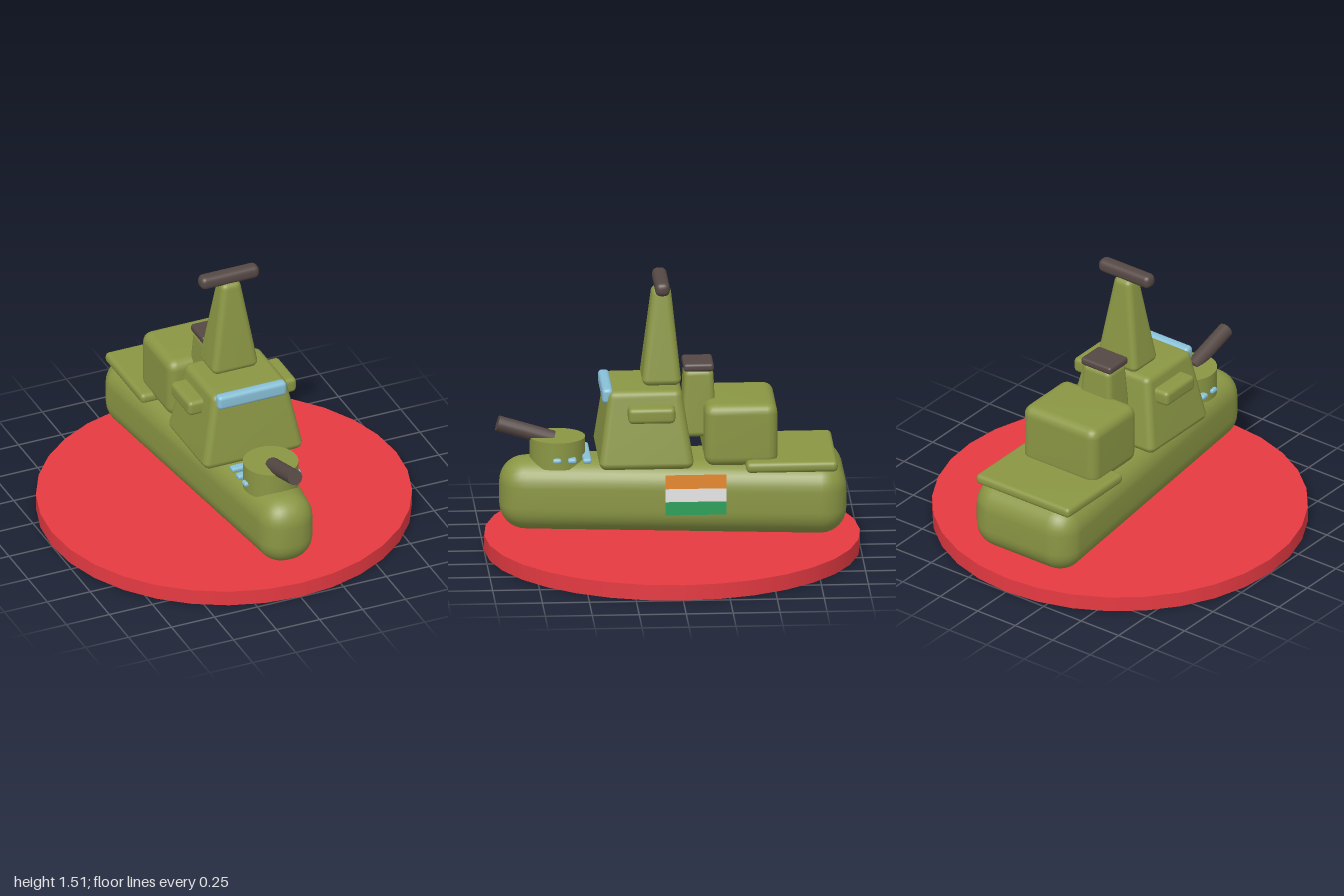
import * as THREE from 'three';
import { mergeVertices } from 'three/addons/utils/BufferGeometryUtils.js';
import { RoundedBoxGeometry } from 'three/addons/geometries/RoundedBoxGeometry.js';

function material(name, color, side = THREE.FrontSide) {
  const m = new THREE.MeshStandardMaterial({ color, side });
  m.name = name;
  return m;
}

// Rounded box that may taper. lo and hi are the outer extents at the bottom and top:
// { x: half width, y, z: [back, front] }; noseX gives another half width at the front.
function taperedBox(lo, hi, r, segments = 3, noseX = null) {
  const g = new RoundedBoxGeometry(1, 1, 1, segments, 0.2);
  const p = g.attributes.position, n = g.attributes.normal;
  for (let i = 0; i < p.count; i++) {
    const e = p.getY(i) > 0 ? hi : lo;
    const front = p.getZ(i) > 0;
    const half = (front && noseX !== null ? noseX : e.x) - r;
    p.setXYZ(i,
      Math.sign(p.getX(i)) * half + n.getX(i) * r,
      (e === hi ? e.y - r : e.y + r) + n.getY(i) * r,
      (front ? e.z[1] - r : e.z[0] + r) + n.getZ(i) * r);
  }
  g.deleteAttribute('uv');
  g.deleteAttribute('normal');
  const smooth = mergeVertices(g, 1e-4);
  smooth.computeVertexNormals();
  return smooth;
}

// Straight rounded box from half width, y range and z range
const softBox = (x, y0, y1, z0, z1, r) =>
  taperedBox({ x, y: y0, z: [z0, z1] }, { x, y: y1, z: [z0, z1] }, r);

export function createModel() {
  const group = new THREE.Group();
  const olive = material('olive', 0x8a9644);
  const red = material('red', 0xe63a42);
  const brown = material('dark brown', 0x554844);
  const blue = material('glass blue', 0x88c0d8);

  const add = (name, geometry, mat, x = 0, y = 0, z = 0) => {
    const mesh = new THREE.Mesh(geometry, mat);
    mesh.name = name;
    mesh.position.set(x, y, z);
    group.add(mesh);
    return mesh;
  };

  // Round base
  add('base', new THREE.CylinderGeometry(1, 1, 0.085, 32), red, 0, 0.0425, 0);

  // Hull, narrowing to the bow
  add('hull', taperedBox({ x: 0.33, y: 0.13, z: [-0.917, 0.92] },
    { x: 0.33, y: 0.52, z: [-0.917, 0.92] }, 0.14, 4, 0.155), olive);

  // Superstructure
  add('cabin', taperedBox({ x: 0.288, y: 0.51, z: [-0.1, 0.402] },
    { x: 0.222, y: 0.93, z: [-0.045, 0.355] }, 0.04), olive);
  add('mast', taperedBox({ x: 0.132, y: 0.93, z: [-0.042, 0.165] },
    { x: 0.06, y: 1.45, z: [0.005, 0.113] }, 0.035), olive);
  add('funnel', taperedBox({ x: 0.115, y: 0.64, z: [-0.23, -0.045] },
    { x: 0.093, y: 1.005, z: [-0.217, -0.06] }, 0.03), olive);
  add('hangar', softBox(0.245, 0.51, 0.85, -0.55, -0.16, 0.055), olive);
  add('landingDeck', softBox(0.312, 0.492, 0.55, -0.865, -0.378, 0.024), olive);
  for (const s of [-1, 1]) {
    add(s > 0 ? 'leftWing' : 'rightWing', softBox(0.055, 0.775, 0.86, 0, 0.25, 0.024), olive, s * 0.26);
  }

  // Mast bar, funnel cap and windows
  add('radarBar', softBox(0.17, 1.435, 1.51, 0.02, 0.098, 0.03), brown);
  add('funnelCap', softBox(0.1, 0.998, 1.042, -0.218, -0.056, 0.016), brown);
  add('cabinWindow', softBox(0.2, 0.858, 0.94, 0.325, 0.383, 0.022), blue);
  for (const z of [0.46, 0.54, 0.62]) {
    add('deckStrip', softBox(0.165, 0.518, 0.546, z - 0.023, z + 0.023, 0.012), blue);
  }

  // Gun turret and raised barrel
  add('turret', new THREE.CylinderGeometry(0.148, 0.148, 0.15, 32), olive, 0, 0.555, 0.61);
  const barrel = add('barrel', new THREE.CylinderGeometry(0.042, 0.042, 0.31, 16), brown, 0, 0.661, 0.781);
  barrel.rotation.x = Math.PI / 2 - 0.295;

  // Three-band flag on the left side
  const bands = [['orange', 0xff9933, 0.405, 0.482], ['white', 0xfafafa, 0.333, 0.405], ['green', 0x2ca05a, 0.26, 0.333]];
  for (const [name, color, y0, y1] of bands) {
    const band = add(name + 'Band', new THREE.PlaneGeometry(0.325, y1 - y0),
      material(name, color, THREE.DoubleSide), 0.278, (y0 + y1) / 2, -0.112);
    band.rotation.y = Math.PI / 2;
  }
  return group;
}
